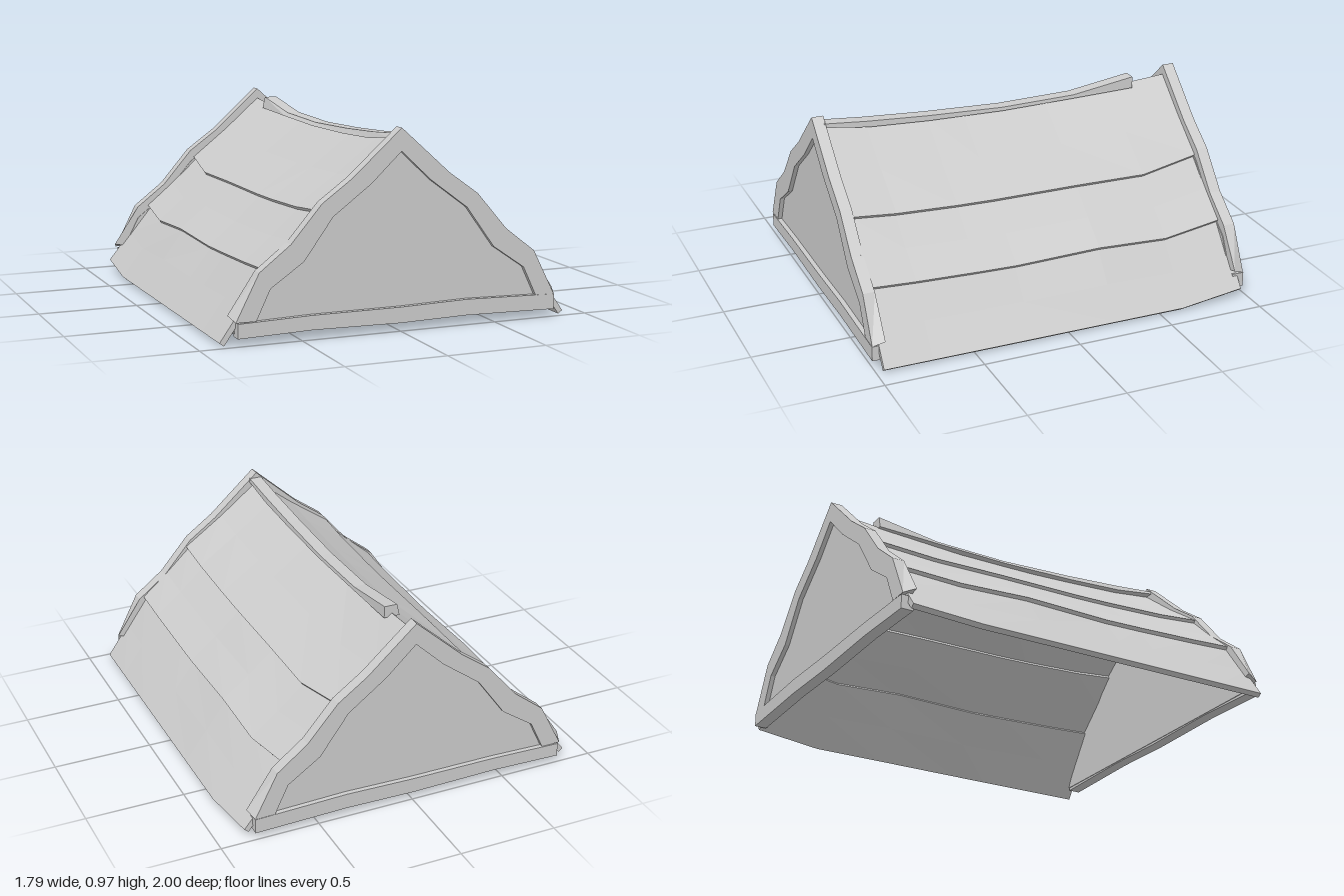
import * as THREE from 'three';

const material = new THREE.MeshStandardMaterial({ color: 0xcccccc, flatShading: true });

// Closed solid from equal cross-sections (counter-clockwise seen from +z), ordered towards +z.
function loft(rings, mirror = false) {
  const out = [];
  const tri = (...c) => {
    if (mirror) c.reverse();
    for (const [x, y, z] of c) out.push(mirror ? -x : x, y, z);
  };
  const quad = (a, b, c, d) => { tri(a, b, c); tri(a, c, d); };
  const n = rings[0].length;
  for (let r = 0; r < rings.length - 1; r++) {
    const a = rings[r], b = rings[r + 1];
    for (let i = 0; i < n; i++) {
      const j = (i + 1) % n;
      quad(a[i], a[j], b[j], b[i]);
    }
  }
  // End caps, bridged between the outer and inner halves of the ring
  const first = rings[0], last = rings[rings.length - 1];
  for (let i = 0; i < n / 2 - 1; i++) {
    const k = [i, i + 1, n - 2 - i, n - 1 - i];
    quad(...k.map(q => last[q]));
    quad(...k.reverse().map(q => first[q]));
  }
  const g = new THREE.BufferGeometry();
  g.setAttribute('position', new THREE.Float32BufferAttribute(out, 3));
  g.computeVertexNormals();
  return g;
}

// Roof stations from back to front: z, ridge height, then lower edge [x, y] of each course
const STATIONS = [
  { z: -0.95, ridge: 0.92, edges: [[0.38, 0.605], [0.65, 0.347], [0.868, 0.05]] },
  { z: -0.62, ridge: 0.895, edges: [[0.425, 0.563], [0.685, 0.316], [0.893, 0.02]] },
  { z: -0.25, ridge: 0.872, edges: [[0.425, 0.568], [0.685, 0.333], [0.893, 0.02]] },
  { z: 0.2, ridge: 0.872, edges: [[0.425, 0.568], [0.685, 0.322], [0.893, 0.02]] },
  { z: 0.4, ridge: 0.88, edges: [[0.425, 0.572], [0.685, 0.327], [0.893, 0.02]] },
  { z: 0.72, ridge: 0.895, edges: [[0.425, 0.585], [0.685, 0.338], [0.893, 0.02]] },
  { z: 0.95, ridge: 0.92, edges: [[0.425, 0.606], [0.685, 0.35], [0.893, 0.02]] },
];
const SAG = [0.008, 0.006, 0.0];
const END_Z = [0.95, 0.95, 0.965];

function courseRing(station, course) {
  const { ridge, edges } = station;
  const z = Math.abs(station.z) === 0.95 ? Math.sign(station.z) * END_Z[course] : station.z;
  const [bx, by] = edges[course];
  const [tx, ty] = course === 0 ? [0, ridge] : [edges[course - 1][0] - 0.02, edges[course - 1][1] - 0.005];
  const mx = (bx + tx) / 2, my = (by + ty) / 2 - SAG[course];
  // Thickness measured square to the slope
  const len = Math.hypot(bx - tx, ty - by), t = 0.027;
  const dx = -t * (ty - by) / len, dy = -t * (bx - tx) / len;
  const topDx = course === 0 ? 0 : dx;
  return [
    [bx, by, z], [mx, my, z], [tx, ty, z],
    [tx + topDx, ty + dy * 1.2, z], [mx + dx, my + dy, z], [bx + dx, by + dy, z],
  ];
}

// Gable outline halves, from the peak down to the foot
const OUTER = [[0, 0.972], [0.25, 0.748], [0.40, 0.64], [0.555, 0.46], [0.71, 0.34], [0.825, 0.115]];
const INNER = [[0, 0.862], [0.15, 0.72], [0.345, 0.575], [0.49, 0.375], [0.655, 0.262], [0.725, 0.115]];

function outline(half) {
  return [...half.map(([x, y]) => [-x, y]).reverse(), ...half.slice(1)].map(p => new THREE.Vector2(...p));
}

function extrude(points, depth, z) {
  const g = new THREE.ExtrudeGeometry(new THREE.Shape(points), { depth, bevelEnabled: false });
  return g.translate(0, 0, z);
}

// Trim whose feet flare outwards towards the roof
function trimGeometry(z) {
  const g = extrude([...outline(OUTER), ...outline(INNER).reverse()], 0.06, z);
  const p = g.attributes.position;
  for (let i = 0; i < p.count; i++) {
    if (Math.abs(p.getX(i)) > 0.8 && Math.abs(p.getZ(i)) < 0.96) {
      p.setXY(i, Math.sign(p.getX(i)) * 0.845, 0.14);
    }
  }
  g.computeVertexNormals();
  return g;
}

export function createModel() {
  const model = new THREE.Group();
  model.name = 'gabledRoof';
  const add = (parent, name, geometry) => {
    const mesh = new THREE.Mesh(geometry, material);
    mesh.name = name;
    parent.add(mesh);
  };

  // Three overlapping roof courses on each slope
  for (const mirror of [false, true]) {
    const slope = new THREE.Group();
    slope.name = mirror ? 'rightSlope' : 'leftSlope';
    ['upperCourse', 'middleCourse', 'lowerCourse'].forEach((name, c) => {
      add(slope, name, loft(STATIONS.map(s => courseRing(s, c)), mirror));
    });
    model.add(slope);
  }

  // Sagging ridge cap, raised at its back end: z, top, bottom
  const cap = [
    [-0.74, 0.945, 0.885], [-0.4, 0.895, 0.876], [0, 0.887, 0.868],
    [0.4, 0.903, 0.876], [0.72, 0.923, 0.892], [0.945, 0.943, 0.923],
  ];
  add(model, 'ridgeCap', loft(cap.map(([z, top, bottom]) => [
    [-0.042, bottom, z], [0.04, bottom, z], [0.038, top, z], [-0.028, top, z],
  ])));

  // Gable ends: stepped trim, recessed panel, inner wall and tie beam
  for (const side of [1, -1]) {
    const gable = new THREE.Group();
    gable.name = side > 0 ? 'frontGable' : 'backGable';
    const at = (near, far) => (side > 0 ? near : -far);
    add(gable, 'gableTrim', trimGeometry(at(0.938, 0.998)));
    add(gable, 'gablePanel', extrude(outline(INNER.map(([x, y]) => [x * 1.03, y + (y > 0.2 ? 0.01 : -0.02)])), 0.03, at(0.945, 0.975)));
    add(gable, 'innerWall', extrude(outline(OUTER.map(([x, y]) => [x, y - 0.06])), 0.02, at(0.934, 0.954)));
    // Slightly uneven beam
    const beam = [[-0.815, 0.04, 0.11], [-0.45, 0.05, 0.12], [0, 0.043, 0.12], [0.35, 0.05, 0.128], [0.825, 0.04, 0.115]];
    add(gable, 'tieBeam', extrude([
      ...beam.map(([x, y]) => new THREE.Vector2(x, y)),
      ...beam.map(([x, , y]) => new THREE.Vector2(x, y)).reverse(),
    ], 0.062, at(0.938, 1)));
    model.add(gable);
  }
  return model;
}
